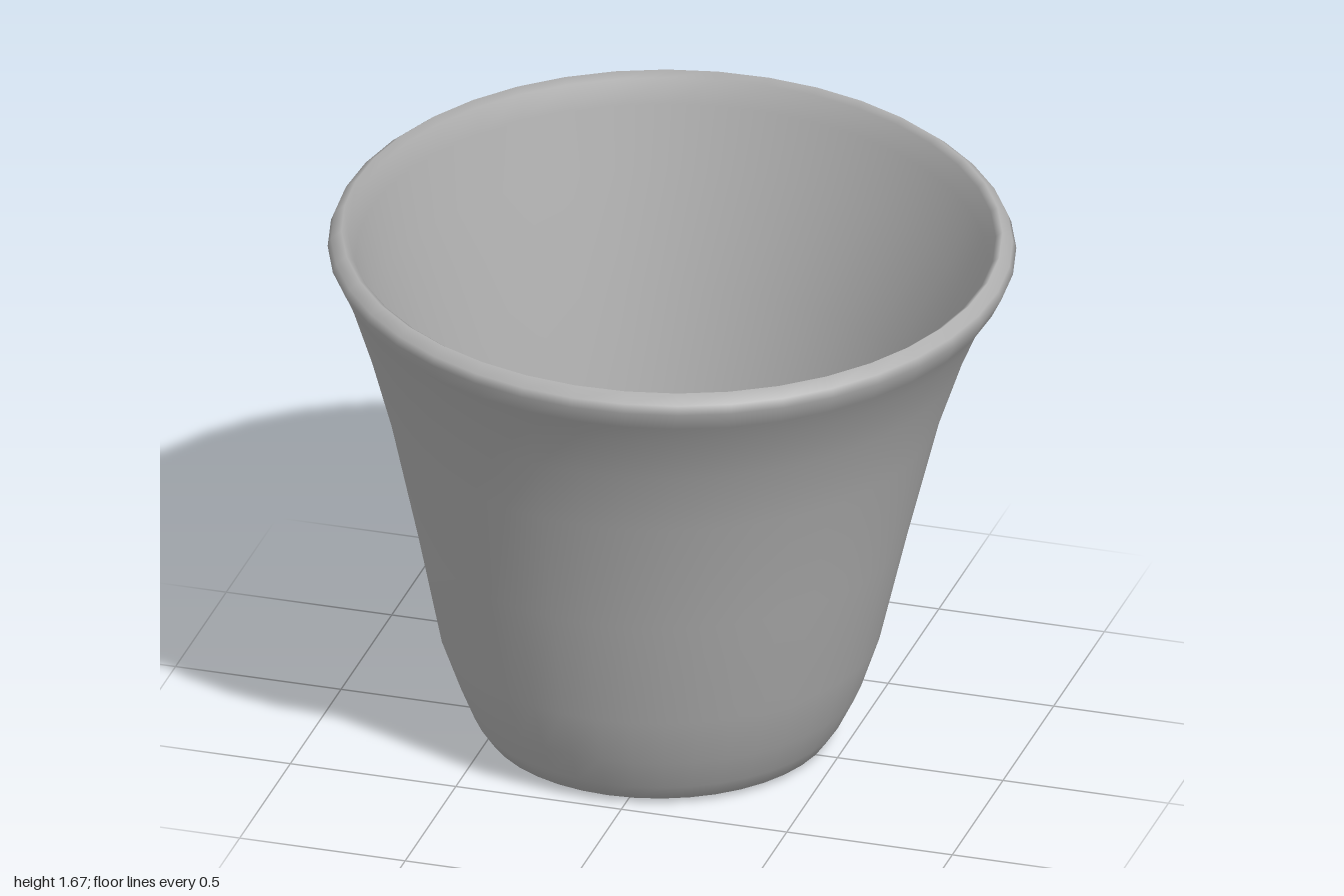
import * as THREE from 'three';

// Closed wall section, from the drain hole out, up, over the lip and back down.
// Each ring: radius, height, centre x, centre z, tilt (how much it follows the sloping rim)
const RINGS = [
  // underside
  [0.04, 0.035, -0.17, 0.03, 0],
  [0.09, 0.012, -0.16, 0.02, 0],
  [0.30, 0.002, -0.11, -0.02, 0],
  [0.44, 0.004, -0.06, -0.05, 0],
  [0.505, 0.018, -0.055, -0.05, 0],
  // outer wall
  [0.54, 0.07, -0.055, -0.05, 0],
  [0.585, 0.17, -0.05, -0.05, 0],
  [0.64, 0.33, -0.05, -0.045, 0],
  [0.715, 0.68, -0.04, -0.035, 0],
  [0.80, 1.05, -0.03, -0.025, 0.1],
  [0.865, 1.27, -0.02, -0.015, 0.4],
  [0.925, 1.44, -0.01, -0.005, 0.8],
  [0.965, 1.52, 0, 0, 1],
  // lip
  [0.995, 1.58, 0, 0, 1],
  [0.985, 1.605, 0, 0, 1],
  [0.955, 1.63, 0, 0, 1],
  [0.935, 1.615, 0, 0, 1],
  // inner wall
  [0.915, 1.54, 0, 0, 1],
  [0.855, 1.37, -0.015, -0.01, 0.6],
  [0.75, 1.05, -0.03, -0.025, 0.1],
  [0.665, 0.68, -0.04, -0.035, 0],
  [0.59, 0.33, -0.04, -0.045, 0],
  [0.52, 0.15, -0.035, -0.05, 0],
  [0.46, 0.085, -0.03, -0.05, 0],
  // floor
  [0.38, 0.07, -0.05, -0.04, 0],
  [0.22, 0.07, -0.12, 0, 0],
  [0.08, 0.062, -0.165, 0.03, 0],
  [0.04, 0.048, -0.17, 0.03, 0],
];
const SIDES = 40;

// Joins the rings into one closed smooth shell
function ringShell(rings, sides) {
  const positions = [], index = [];
  rings.forEach(([r, y, cx, cz, tilt], i) => {
    const next = (i + 1) % rings.length;
    for (let j = 0; j < sides; j++) {
      const a = (j / sides) * Math.PI * 2;
      const x = Math.cos(a) * r, z = Math.sin(a) * r;
      positions.push(cx + x, y - tilt * (0.025 * x + 0.04 * z), cz + z);
      const k = (j + 1) % sides;
      const p = i * sides + j, q = next * sides + j;
      const s = i * sides + k, t = next * sides + k;
      index.push(p, q, s, q, t, s);
    }
  });
  const geometry = new THREE.BufferGeometry();
  geometry.setAttribute('position', new THREE.Float32BufferAttribute(positions, 3));
  geometry.setIndex(index);
  geometry.computeVertexNormals();
  return geometry;
}

export function createModel() {
  const group = new THREE.Group();
  group.name = 'plantPot';

  const clay = new THREE.MeshStandardMaterial({ color: 0xb0b0b0 });
  clay.name = 'grey clay';

  // Pot body with flared lip and off-centre drain hole
  const pot = new THREE.Mesh(ringShell(RINGS, SIDES), clay);
  pot.name = 'potBody';
  group.add(pot);

  return group;
}
